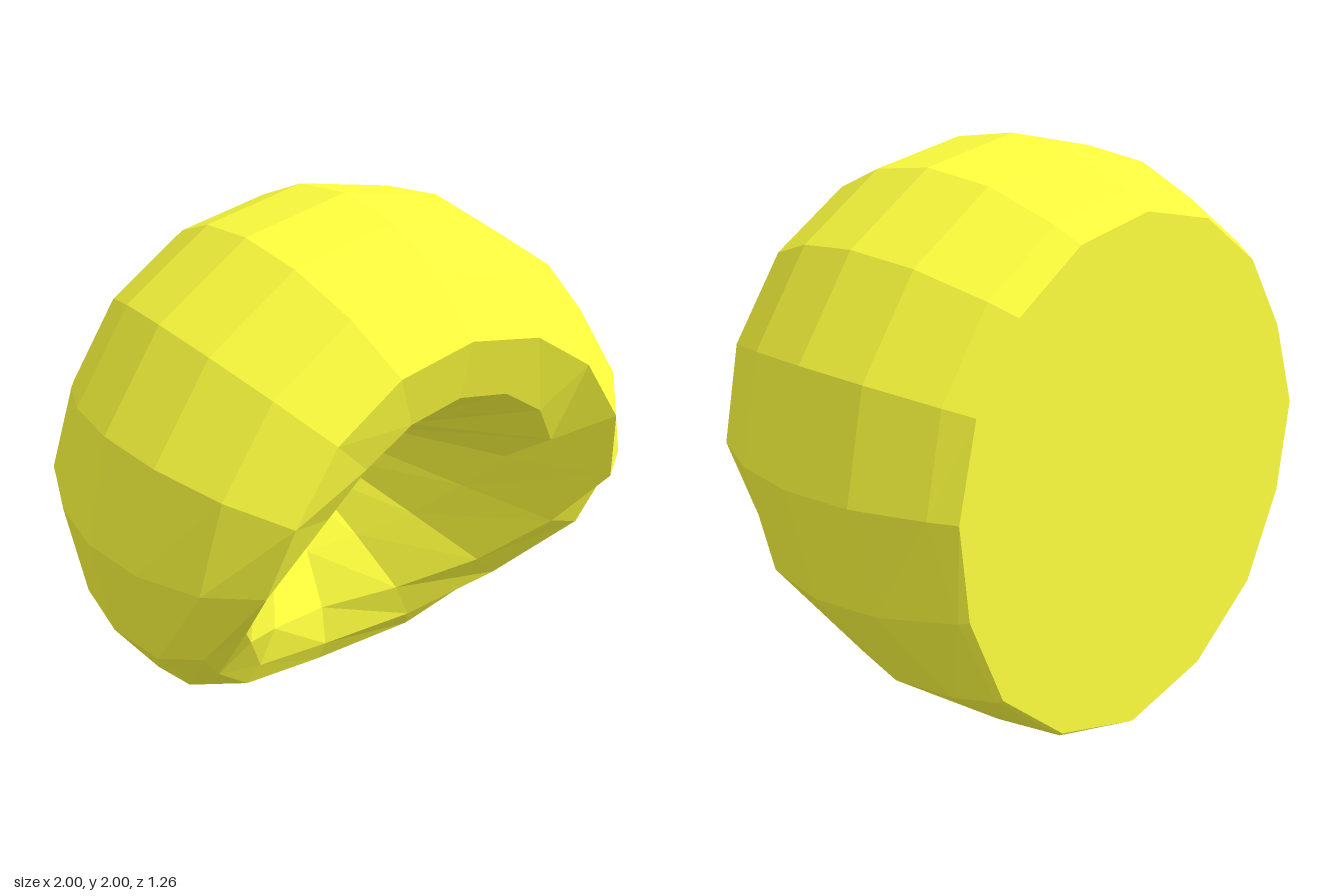
import * as THREE from 'three';

const SIDES = 16;

// Each ring runs from the crown (+90 deg) to the underside (-90 deg) in 9 steps.
// r: radius, z: depth; upper() keeps the upper half constant.
const upper = (top, lower) => [top, top, top, top, ...lower];
const same = (v) => Array(9).fill(v);
const RINGS = [
  // hollow inside
  { r: same(0.26), z: [0.2, 0.17, 0.1, -0.02, -0.22, -0.32, -0.4, -0.46, -0.48] },
  { r: same(0.5), z: [0.58, 0.58, 0.57, 0.52, 0.25, 0.07, -0.1, -0.24, -0.3] },
  // rim and slanted front
  { r: same(0.707), z: upper(0.63, [0.58, 0.36, 0.13, -0.08, -0.2]), lag: 0.04 },
  { r: same(0.866), z: upper(0.46, [0.46, 0.34, 0.1, -0.08, -0.18]), lag: 0.05 },
  // outer shell
  { r: same(0.966), z: upper(0.22, [0.22, 0.18, -0.01, -0.14, -0.23]), lag: 0.03 },
  { r: same(1), z: upper(-0.04, [-0.04, -0.07, -0.2, -0.35, -0.42]), lag: 0.03 },
  { r: upper(0.966, [0.966, 0.966, 0.966, 0.97, 0.985]), z: upper(-0.3, [-0.3, -0.33, -0.45, -0.53, -0.56]), lag: 0.03 },
  { r: upper(0.866, [0.866, 0.866, 0.92, 0.955, 0.978]), z: upper(-0.54, [-0.54, -0.6, -0.61, -0.62, -0.625]), flare: 0.025 },
  { r: upper(0.81, [0.82, 0.845, 0.905, 0.945, 0.975]), z: same(-0.63), flare: 0.04 },
];

// Point on a ring; the lower right side lags back slightly and is wider at the back
function ringPoint({ r, z, lag = 0, flare = 0 }, i) {
  const k = i % SIDES;
  const step = k <= 8 ? k : SIDES - k;
  const a = (k / SIDES) * Math.PI * 2;
  const skew = k > 8 && step >= 4 ? 1 : 0;
  const radius = r[step] + skew * flare * (8 - step) / 4;
  return [Math.sin(a) * radius, 1 + Math.cos(a) * radius, z[step] - skew * lag];
}

// Faceted skin between consecutive rings
function loft(rings) {
  const out = [];
  for (let j = 0; j < rings.length - 1; j++) {
    for (let i = 0; i < SIDES; i++) {
      const a = ringPoint(rings[j], i), b = ringPoint(rings[j], i + 1);
      const c = ringPoint(rings[j + 1], i), d = ringPoint(rings[j + 1], i + 1);
      out.push(...a, ...b, ...c, ...b, ...d, ...c);
    }
  }
  return out;
}

// Fan from a centre point to a ring
function fan(ring, centre, front) {
  const out = [];
  for (let i = 0; i < SIDES; i++) {
    const a = ringPoint(ring, i), b = ringPoint(ring, i + 1);
    out.push(...centre, ...(front ? b : a), ...(front ? a : b));
  }
  return out;
}

export function createModel() {
  const group = new THREE.Group();
  group.name = 'hollowShell';
  const material = new THREE.MeshStandardMaterial({
    color: 0xffff3e, flatShading: true, side: THREE.DoubleSide,
  });
  const add = (name, positions) => {
    const geometry = new THREE.BufferGeometry();
    geometry.setAttribute('position', new THREE.Float32BufferAttribute(positions, 3));
    geometry.computeVertexNormals();
    const mesh = new THREE.Mesh(geometry, material);
    mesh.name = name;
    group.add(mesh);
  };

  add('hollow', [...fan(RINGS[0], [0, 1, -0.2], true), ...loft(RINGS.slice(0, 3))]);
  add('outerShell', loft(RINGS.slice(2)));
  add('flatBack', fan(RINGS[RINGS.length - 1], [0, 1, -0.63], false));
  return group;
}
